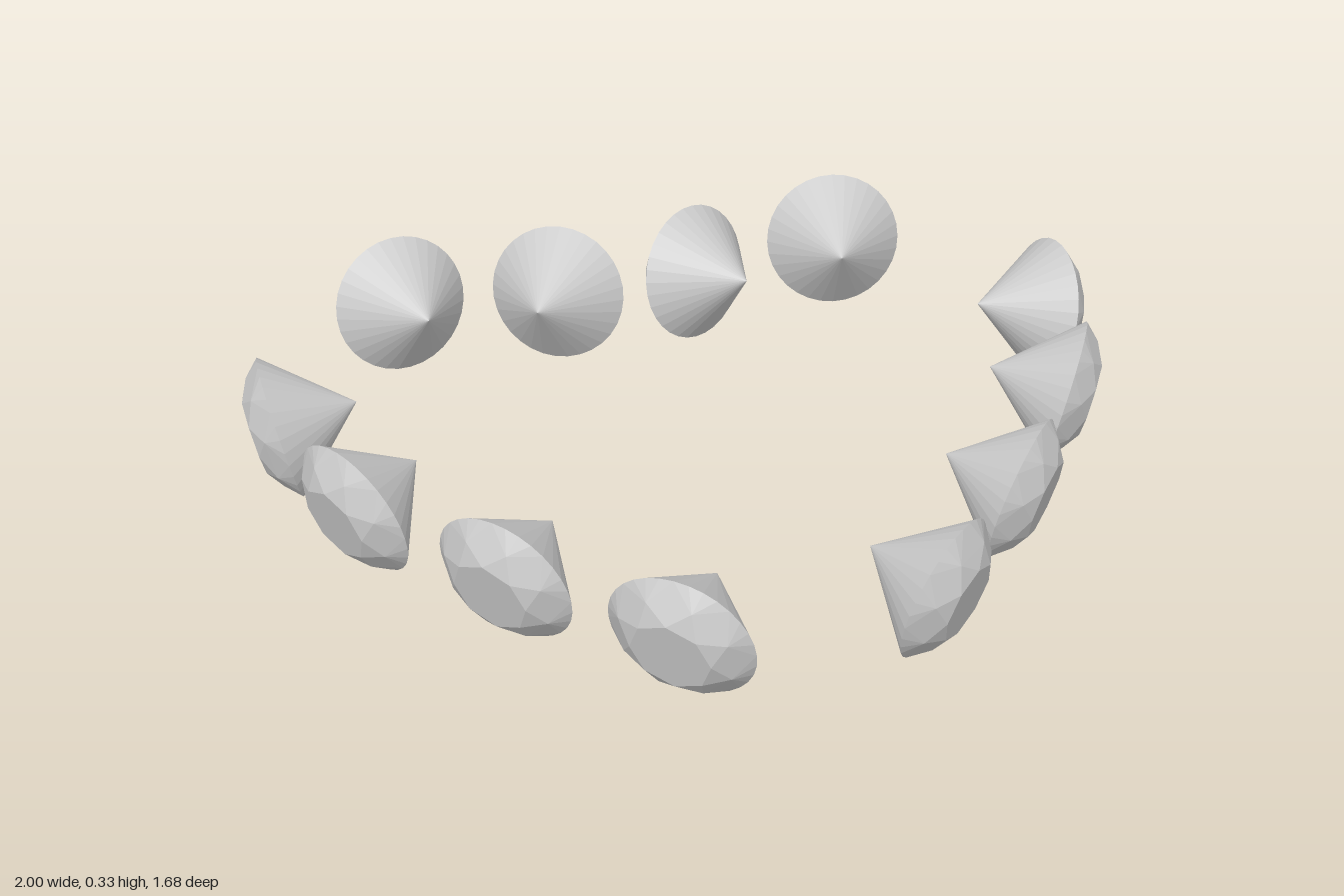
import * as THREE from 'three';
import { ConvexGeometry } from 'three/addons/geometries/ConvexGeometry.js';

const RADIUS = 0.164;  // girdle
const DEPTH = 0.179;   // girdle to point
const CROWN = 0.06;    // girdle to table
const TILT = 0.23;     // every gem leans outward and down

// Points evenly spaced on a circle at height z
function ring(count, radius, z, turn = 0) {
  return Array.from({ length: count }, (_, i) => {
    const a = ((i + turn) / count) * Math.PI * 2;
    return new THREE.Vector3(Math.cos(a) * radius, Math.sin(a) * radius, z);
  });
}

// Round brilliant cut: table faces +z, point at -z
function gemGeometry() {
  return new ConvexGeometry([
    ...ring(8, 0.09, CROWN),
    ...ring(8, 0.13, 0.0357, 0.5),
    ...ring(32, RADIUS, 0),
    new THREE.Vector3(0, 0, -DEPTH),
  ]);
}

// Left half of the heart-shaped row: girdle centre x, y, z and outward direction x, z
const GEMS = [
  [0.28, 0.183, 0.727, 0.655, 0.755],
  [0.572, 0.181, 0.428, 0.75, 0.662],
  [0.82, 0.18, 0.085, 0.878, 0.478],
  [0.919, 0.178, -0.283, 0.998, -0.05],
  [0.548, 0.172, -0.755, 0.2, -0.98],
  [0.172, 0.169, -0.702, -0.5, -0.866],
];

export function createModel() {
  const model = new THREE.Group();
  model.name = 'heartOfGems';
  const geometry = gemGeometry();
  const material = new THREE.MeshStandardMaterial({ color: 0xcccccc, flatShading: true });

  for (const [side, label] of [[1, 'left'], [-1, 'right']]) {
    GEMS.forEach(([x, y, z, dx, dz], i) => {
      const gem = new THREE.Mesh(geometry, material);
      gem.name = `${label}Gem${i + 1}`;
      gem.position.set(side * x, y, z);
      gem.rotation.set(TILT, Math.atan2(side * dx, dz), 0, 'YXZ');
      model.add(gem);
    });
  }
  return model;
}
